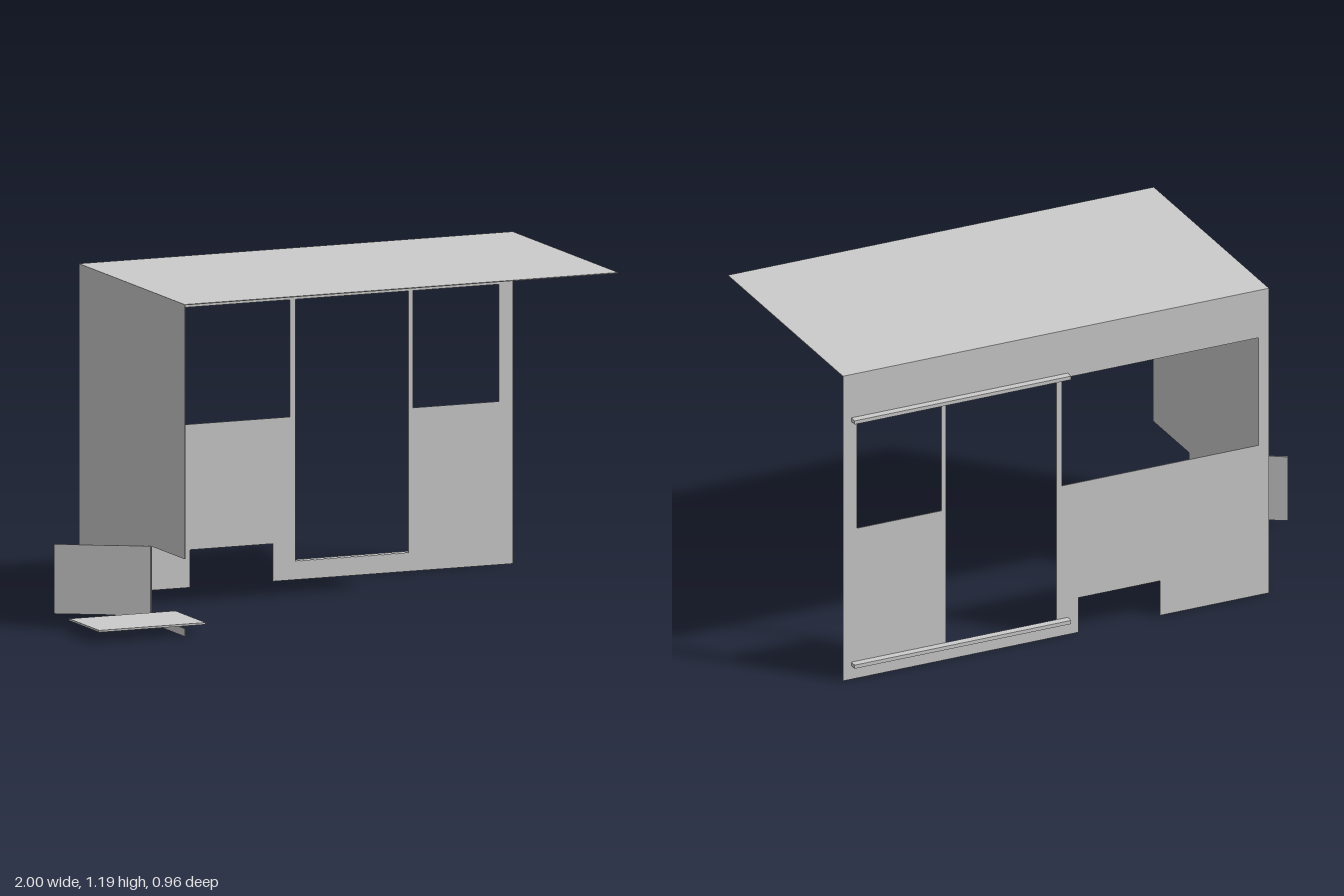
import * as THREE from 'three';

const T = 0.003; // sheet thickness
const material = new THREE.MeshStandardMaterial({ color: 0xcccccc, flatShading: true, side: THREE.DoubleSide });

const points = list => list.map(([x, y]) => new THREE.Vector2(x, y));

// Box given by its minimum and maximum corners
function box(name, [x0, y0, z0], [x1, y1, z1]) {
  const mesh = new THREE.Mesh(new THREE.BoxGeometry(x1 - x0, y1 - y0, z1 - z0), material);
  mesh.position.set((x0 + x1) / 2, (y0 + y1) / 2, (z0 + z1) / 2);
  mesh.name = name;
  return mesh;
}

// Thin sheet cut from an outline, with rectangular openings [x0, y0, x1, y1]
function sheet(name, outline, openings = []) {
  const shape = new THREE.Shape(points(outline));
  for (const [x0, y0, x1, y1] of openings) {
    shape.holes.push(new THREE.Path(points([[x0, y0], [x0, y1], [x1, y1], [x1, y0]])));
  }
  const geometry = new THREE.ExtrudeGeometry(shape, { depth: T, bevelEnabled: false });
  const mesh = new THREE.Mesh(geometry, material);
  mesh.name = name;
  return mesh;
}

export function createModel() {
  const model = new THREE.Group();
  model.name = 'cabinShell';
  const left = -0.672, right = 1, back = -0.453, front = 0.479, top = 1.19;

  // Long wall with two windows, a sliding door opening and a wheel cutout
  const longWall = sheet('longWall', [
    [left, 0], [-0.245, 0], [-0.245, 0.135], [0.075, 0.135], [0.075, 0], [right, 0],
    [right, top], [left, top],
  ], [
    [-0.632, 0.585, 0.14, 1.005],
    [0.162, 0.066, 0.597, 1.005],
    [0.614, 0.585, 0.946, 1.005],
  ]);
  longWall.position.z = back;
  model.add(longWall);

  // End wall with the hatch opening at its lower front corner
  const endWall = sheet('endWall', [
    [back, 0], [front, 0], [front, 0.028], [0.186, 0.028], [0.186, 0.277],
    [front, 0.277], [front, top], [back, top],
  ]);
  endWall.geometry.rotateY(-Math.PI / 2);
  endWall.position.x = left + T;
  model.add(endWall);

  model.add(box('roof', [left, top - T, back], [right, top, front]));

  // Door rails on the outside of the long wall
  for (const [name, y] of [['upperRail', 1.007], ['lowerRail', 0.053]]) {
    model.add(box(name, [0.118, y, -0.481], [0.968, y + 0.014, back]));
  }

  // Hatch door swung open on its vertical hinge
  const hatch = new THREE.Group();
  hatch.name = 'hatchDoor';
  hatch.add(box('hatchPanel', [-0.344, 0.028, -0.003], [0, 0.277, 0.003]));
  hatch.position.set(left, 0, 0.179);
  hatch.rotation.y = -0.528;
  model.add(hatch);

  // Tray pulled out through the hatch
  model.add(box('slidingTray', [-1, 0.037, 0.21], [-0.59, 0.044, 0.477]));

  return model;
}
